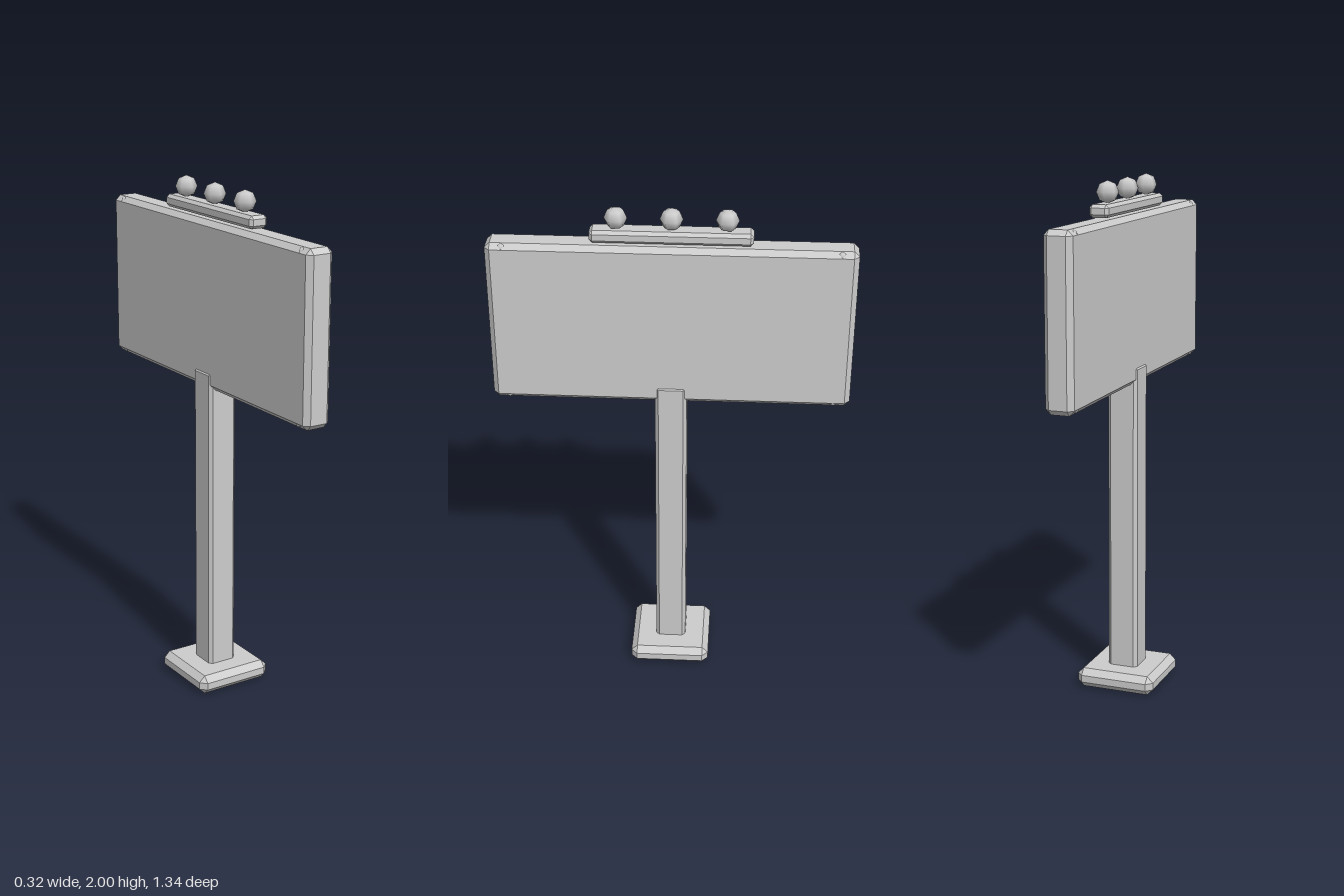
import * as THREE from 'three';
import { ConvexGeometry } from 'three/addons/geometries/ConvexGeometry.js';

const grey = new THREE.MeshStandardMaterial({ color: 0xcccccc });
grey.name = 'plainGrey';

// Box with every edge cut at 45 degrees by c
function chamferBox(w, h, d, c) {
  const half = [w / 2, h / 2, d / 2];
  const points = [];
  for (const sx of [-1, 1]) for (const sy of [-1, 1]) for (const sz of [-1, 1]) {
    for (let axis = 0; axis < 3; axis++) {
      const [x, y, z] = half.map((v, i) => (i === axis ? v : v - c));
      points.push(new THREE.Vector3(sx * x, sy * y, sz * z));
    }
  }
  return new ConvexGeometry(points);
}

export function createModel() {
  const group = new THREE.Group();
  group.name = 'billboard';

  function add(name, geometry, x, y, z) {
    const mesh = new THREE.Mesh(geometry, grey);
    mesh.name = name;
    mesh.position.set(x, y, z);
    group.add(mesh);
  }

  // Foot and post
  add('base', chamferBox(0.316, 0.076, 0.316, 0.024), 0, 0.038, 0);
  add('post', chamferBox(0.12, 1.25, 0.12, 0.013), 0, 0.665, 0);

  // Sign panel, wide along z
  add('panel', chamferBox(0.11, 0.645, 1.344, 0.02), 0, 1.5425, 0);

  // Small studs at the panel corners
  const stud = new THREE.SphereGeometry(0.018, 6, 4);
  for (const x of [-0.036, 0.036]) for (const y of [1.239, 1.846]) for (const z of [-0.61, 0.61]) {
    add('cornerStud', stud, x, y, z);
  }

  // Lamp bar with three bulbs
  add('lampBar', chamferBox(0.076, 0.048, 0.59, 0.012), 0, 1.895, 0);
  const bulb = new THREE.SphereGeometry(0.042, 6, 4).rotateY(Math.PI / 2);
  for (const z of [-0.2, 0, 0.2]) add('bulb', bulb, 0, 1.958, z);

  return group;
}
